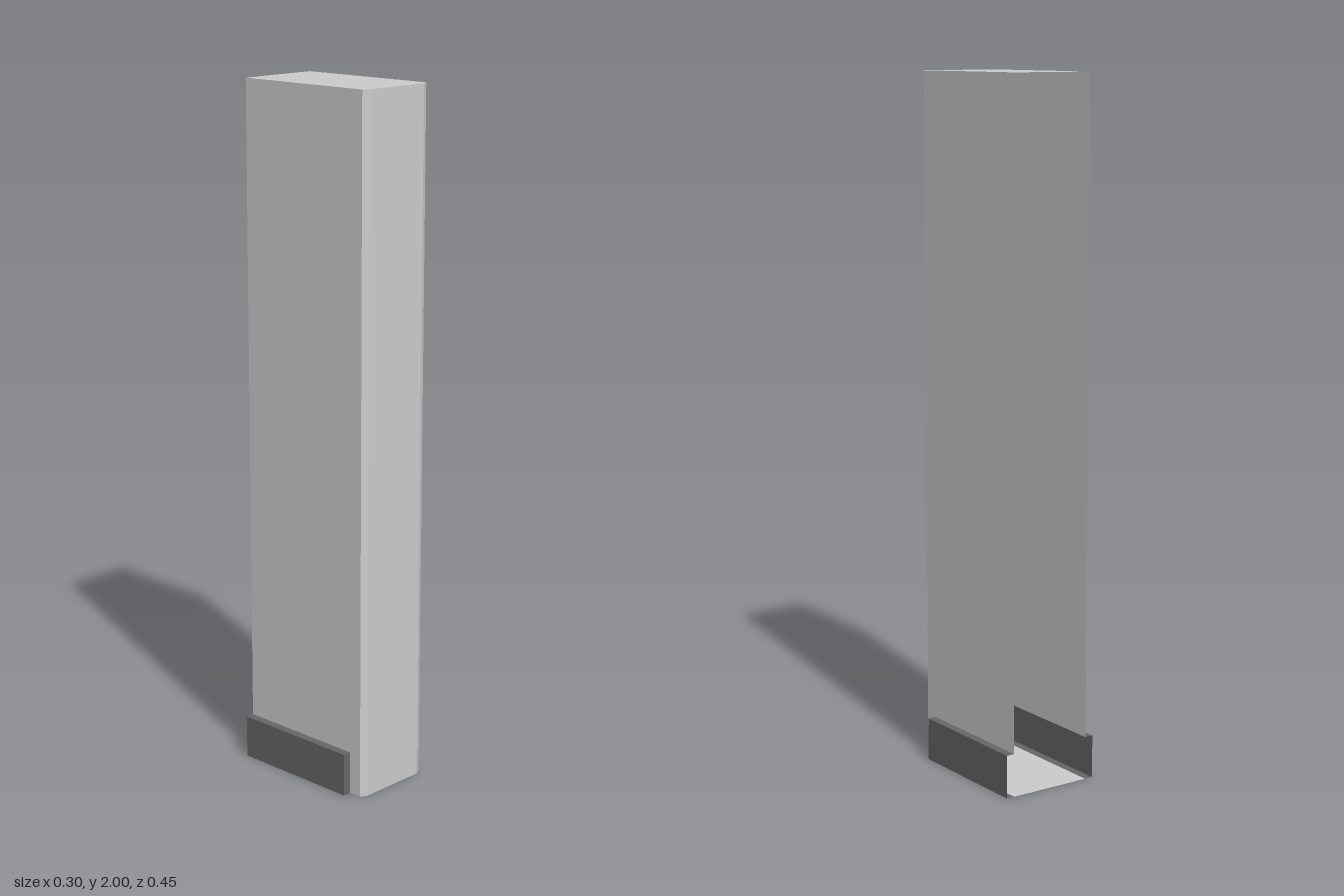
import * as THREE from 'three';

const W = 0.125, BACK = -0.224, FRONT = 0.224, H = 2;
const CHX = 0.105, CHZ = 0.214;                       // chamfered front corners
const SKIRT_X = 0.15, SKIRT_H = 0.125, SKIRT_Z = 0.175;

const grey = new THREE.MeshStandardMaterial({ color: 0xcccccc, side: THREE.DoubleSide });
const dark = new THREE.MeshStandardMaterial({ color: 0x666666, side: THREE.DoubleSide });

function mesh(name, geometry, material) {
  const m = new THREE.Mesh(geometry, material);
  m.name = name;
  return m;
}

// Flat sheet cut from a list of 2D points
function sheet(points) {
  return new THREE.ShapeGeometry(new THREE.Shape(points.map(p => new THREE.Vector2(...p))));
}

// Folded sheet: a 3D polyline swept along a straight vector
function foldedSheet(points, sweep) {
  const pos = [];
  for (let i = 0; i < points.length - 1; i++) {
    const a = points[i], b = points[i + 1];
    const c = b.map((v, k) => v + sweep[k]), d = a.map((v, k) => v + sweep[k]);
    pos.push(...a, ...b, ...c, ...a, ...c, ...d);
  }
  const g = new THREE.BufferGeometry();
  g.setAttribute('position', new THREE.Float32BufferAttribute(pos, 3));
  g.computeVertexNormals();
  return g;
}

export function createModel() {
  const model = new THREE.Group();
  model.name = 'openBackColumn';

  // Front panel with its two chamfered corners
  model.add(mesh('frontPanel', foldedSheet(
    [[-W, 0, CHZ], [-CHX, 0, FRONT], [CHX, 0, FRONT], [W, 0, CHZ]], [0, H, 0]), grey));

  // Top and floor share one outline
  const plan = [[-W, -BACK], [-W, -CHZ], [-CHX, -FRONT], [CHX, -FRONT], [W, -CHZ], [W, -BACK]];
  for (const [name, y] of [['topPanel', H], ['floorPanel', 0]]) {
    model.add(mesh(name, sheet(plan).rotateX(-Math.PI / 2).translate(0, y, 0), grey));
  }

  for (const [side, s] of [['left', 1], ['right', -1]]) {
    // Side wall, notched at the bottom where the skirt bulges out
    const wall = sheet([
      [-CHZ, 0], [-SKIRT_Z, 0], [-SKIRT_Z, SKIRT_H], [-BACK, SKIRT_H], [-BACK, H], [-CHZ, H],
    ]);
    wall.rotateY(Math.PI / 2).translate(s * W, 0, 0);
    model.add(mesh(side + 'Wall', wall, grey));

    // Skirt: channel open to the inside and the back, closed at the front
    const skirt = new THREE.Group();
    skirt.name = side + 'Skirt';
    skirt.add(mesh('skirtChannel', foldedSheet(
      [[s * W, 0, BACK], [s * SKIRT_X, 0, BACK], [s * SKIRT_X, SKIRT_H, BACK], [s * W, SKIRT_H, BACK]],
      [0, 0, SKIRT_Z - BACK]), dark));
    skirt.add(mesh('skirtEnd', foldedSheet(
      [[s * W, 0, SKIRT_Z], [s * SKIRT_X, 0, SKIRT_Z]], [0, SKIRT_H, 0]), dark));
    model.add(skirt);
  }
  return model;
}
